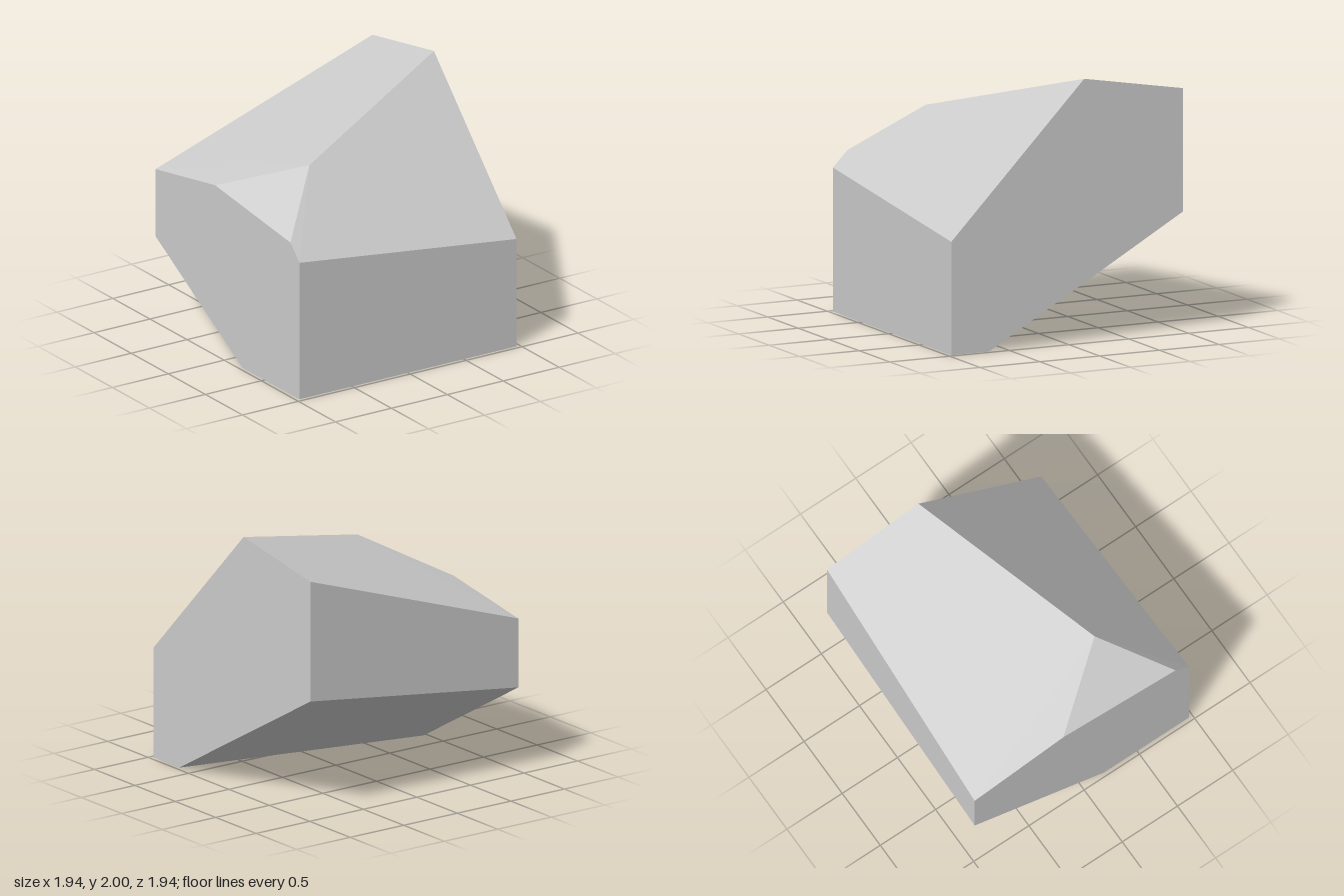
import * as THREE from 'three';

const H = 0.97; // half width and half depth

// Corner points of the faceted block
const P = {
  frontBottomR: [-H, 0, H], frontBottomL: [H, 0, H],
  frontTopR: [-H, 1.093, H], frontTopL: [H, 0.86, H],
  baseBackR: [-H, 0, 0.2], baseBackL: [H, 0, 0.655],
  backBottomR: [-H, 0.667, -H], backBottomL: [H, 0.922, -H],
  backTopR: [-H, 1.205, -H], backTopL: [H, 1.857, -H],
  peak: [H, 2, -0.142], ridge: [-0.52, 1.598, 0.425],
  chamferFront: [-H, 1.215, 0.848], chamferBack: [-H, 1.34, -0.168],
};

// Flat faces, corners counter-clockwise seen from outside
const FACES = [
  ['frontBottomR', 'frontBottomL', 'frontTopL', 'frontTopR'], // front
  ['frontTopR', 'frontTopL', 'peak', 'ridge', 'chamferFront'], // front slope
  ['ridge', 'peak', 'backTopL', 'backTopR', 'chamferBack'], // top
  ['chamferFront', 'ridge', 'chamferBack'], // corner chamfer
  ['frontBottomL', 'baseBackL', 'backBottomL', 'backTopL', 'peak', 'frontTopL'], // left side
  ['frontBottomR', 'frontTopR', 'chamferFront', 'chamferBack', 'backTopR', 'backBottomR', 'baseBackR'], // right side
  ['backBottomL', 'backBottomR', 'backTopR', 'backTopL'], // back
  ['baseBackL', 'baseBackR', 'backBottomR', 'backBottomL'], // sloped underside
  ['frontBottomR', 'baseBackR', 'baseBackL', 'frontBottomL'], // base
];

export function createModel() {
  const positions = [];
  for (const face of FACES) {
    for (let i = 1; i < face.length - 1; i++) {
      positions.push(...P[face[0]], ...P[face[i]], ...P[face[i + 1]]);
    }
  }
  const geometry = new THREE.BufferGeometry();
  geometry.setAttribute('position', new THREE.Float32BufferAttribute(positions, 3));
  geometry.computeVertexNormals();

  const stone = new THREE.MeshStandardMaterial({ color: 0xcccccc });
  stone.name = 'lightGrey';
  stone.flatShading = true;

  const block = new THREE.Mesh(geometry, stone);
  block.name = 'facetedBlock';
  const group = new THREE.Group();
  group.name = 'cutStone';
  group.add(block);
  return group;
}
